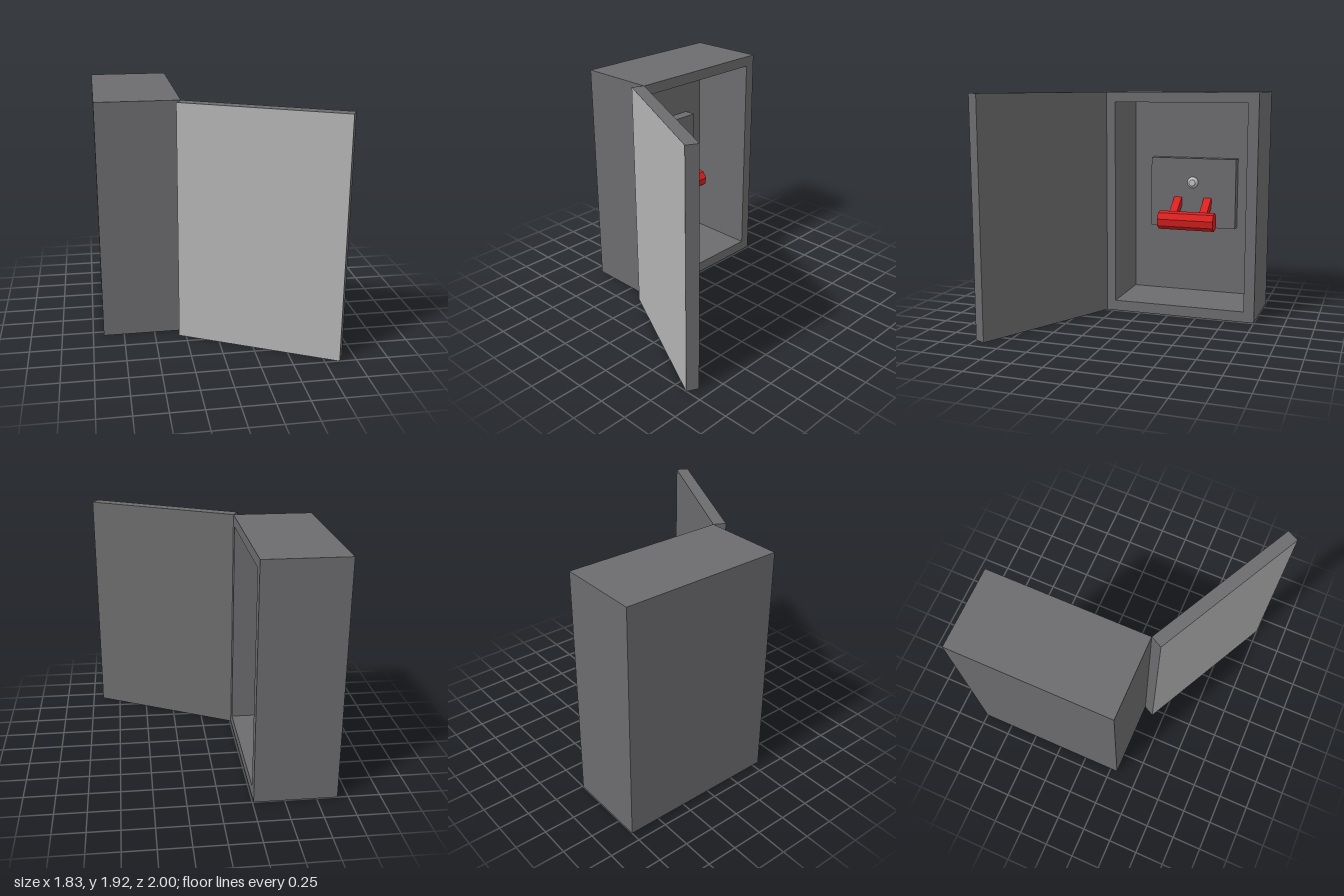
import * as THREE from 'three';

const mat = (name, color) => {
  const m = new THREE.MeshStandardMaterial({ color });
  m.name = name;
  return m;
};

export function createModel() {
  const darkGrey = mat('darkGrey', 0x6c6c6e);
  const lightGrey = mat('lightGrey', 0xb4b4b4);
  const red = mat('red', 0xd82020);
  const silver = mat('silver', 0xc0c0c0);

  const model = new THREE.Group();
  model.name = 'switchCabinet';
  const add = (name, geometry, material, x = 0, y = 0, z = 0) => {
    const mesh = new THREE.Mesh(geometry, material);
    mesh.name = name;
    mesh.position.set(x, y, z);
    model.add(mesh);
    return mesh;
  };

  const H = 1.925, backX = -0.915, innerX = -0.835, openX = -0.26;
  const plateX = -0.735, midZ = -0.34;

  // Cabinet walls: rectangular frame, open towards +x
  const rect = (P, x0, y0, x1, y1) =>
    new P([[x0, y0], [x1, y0], [x1, y1], [x0, y1]].map(p => new THREE.Vector2(...p)));
  const frame = rect(THREE.Shape, -0.312, 0, 1, H);
  frame.holes.push(rect(THREE.Path, -0.235, 0.09, 0.91, 1.84));
  const walls = new THREE.ExtrudeGeometry(frame, { depth: openX - innerX, bevelEnabled: false });
  walls.rotateY(Math.PI / 2);
  add('cabinetWalls', walls, darkGrey, innerX);

  // Cabinet back panel
  add('cabinetBack', new THREE.BoxGeometry(innerX - backX, H, 1.312), darkGrey,
    (backX + innerX) / 2, H / 2, -0.344);

  // Open door, hinged on the cabinet's front edge, with a lighter outer face
  const doorGeo = new THREE.BoxGeometry(1.315, H, 0.1).translate(1.315 / 2, H / 2, 0.05);
  const door = add('door', doorGeo,
    [darkGrey, darkGrey, darkGrey, darkGrey, lightGrey, darkGrey], openX, 0, 0.312);
  door.rotation.y = -Math.atan2(0.6, 1.17);

  // Mounting plate
  add('mountingPlate', new THREE.BoxGeometry(plateX - innerX, 0.625, 0.78), darkGrey,
    (plateX + innerX) / 2, 1.018, midZ);

  // Lever: eight-sided grip on two sloping arms
  const tilt = THREE.MathUtils.degToRad(-33);
  const gripX = -0.52, gripY = 0.795;
  const gripGeo = new THREE.CylinderGeometry(0.082, 0.082, 0.5, 8).toNonIndexed();
  gripGeo.rotateX(Math.PI / 2);
  gripGeo.computeVertexNormals();
  add('leverGrip', gripGeo, red, gripX, gripY, midZ).rotation.z = tilt;
  for (const side of [-1, 1]) {
    const arm = new THREE.BoxGeometry(0.3, 0.07, 0.07).translate(-0.15, 0, 0);
    add('leverArm', arm, red, gripX, gripY, midZ + side * 0.137).rotation.z = tilt;
  }

  // Round button with a bevelled rim and a raised centre
  const profile = [[0.05, 0], [0.05, 0.008], [0.028, 0.028], [0.028, 0.035], [0, 0.035]];
  for (let i = 0; i < profile.length - 1; i++) {
    const pts = [profile[i], profile[i + 1]].map(p => new THREE.Vector2(...p));
    const ring = new THREE.LatheGeometry(pts, 24).rotateZ(-Math.PI / 2);
    add('button', ring, silver, plateX, 1.113, midZ);
  }

  return model;
}
